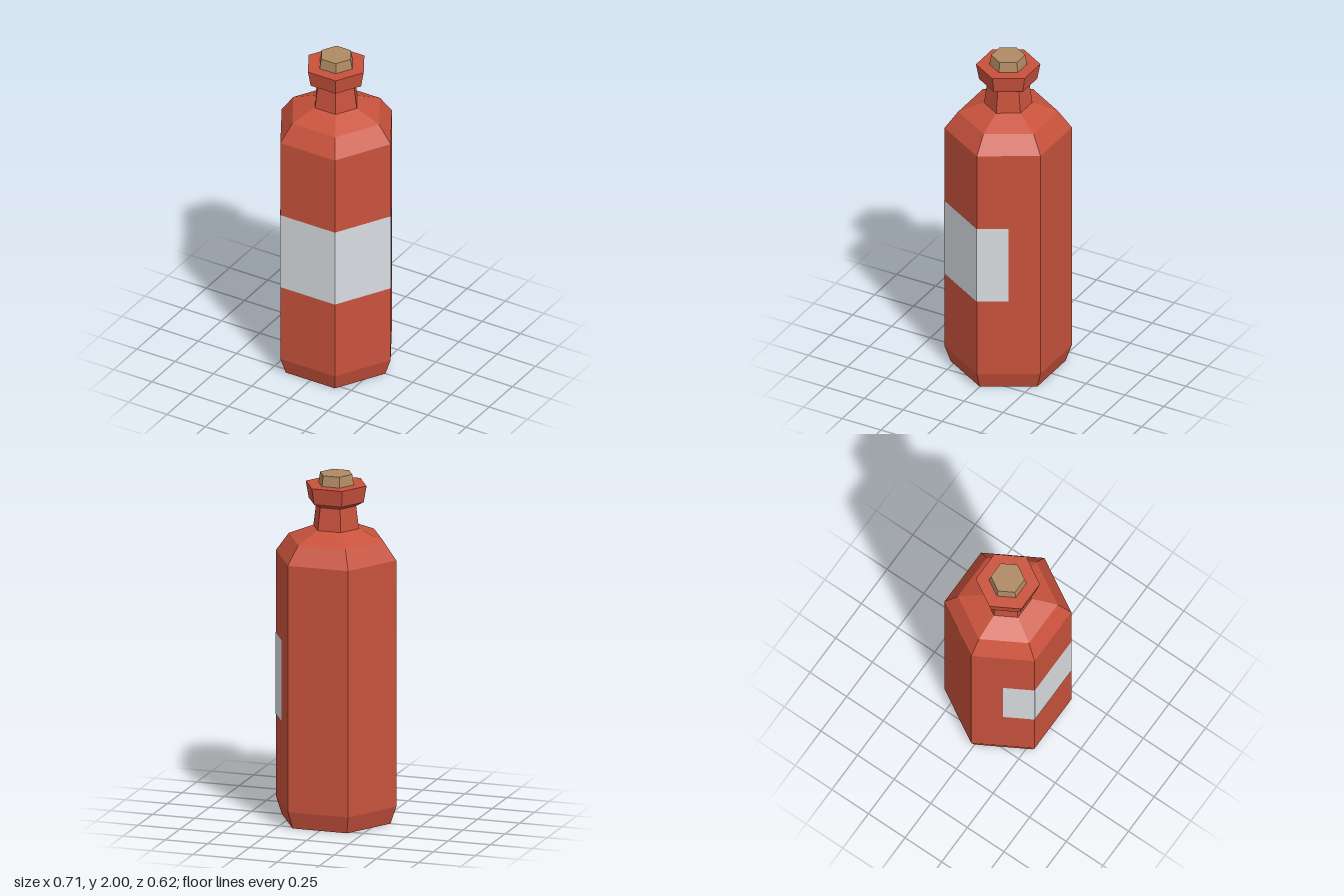
import * as THREE from 'three';

const SIDES = 6;

// Flat-shaded hexagonal solid of revolution, with corners on the x axis
function hexLathe(name, profile, material) {
  const points = profile.map(([r, y]) => new THREE.Vector2(r, y));
  const geometry = new THREE.LatheGeometry(points, SIDES, Math.PI / 2).toNonIndexed();
  geometry.computeVertexNormals();
  const mesh = new THREE.Mesh(geometry, material);
  mesh.name = name;
  return mesh;
}

function flat(name, color) {
  const material = new THREE.MeshStandardMaterial({ color, flatShading: true });
  material.name = name;
  return material;
}

export function createModel() {
  const red = flat('red glass', 0xc8523c);
  const paper = flat('pale paper', 0xd8dde1);
  paper.side = THREE.DoubleSide;
  const tan = flat('tan cork', 0xb08a63);

  const group = new THREE.Group();
  group.name = 'bottle';

  // Body, shoulder and neck
  group.add(hexLathe('body', [
    [0, 0], [0.322, 0], [0.356, 0.1], [0.356, 1.525], [0.28, 1.63],
    [0.135, 1.69], [0.118, 1.82],
  ], red));

  // Flared lip
  group.add(hexLathe('lip', [
    [0.118, 1.82], [0.163, 1.845], [0.18, 1.94], [0, 1.94],
  ], red));

  // Stopper, slightly tapered
  group.add(hexLathe('cork', [[0.106, 1.935], [0.095, 2], [0, 2]], tan));

  // Label wraps two full sides and half of the next one at each end
  const R = 0.358;
  const corner = (k) => new THREE.Vector2(R * Math.cos(k * Math.PI / 3), R * Math.sin(k * Math.PI / 3));
  const path = [
    corner(3).lerp(corner(2), 0.5), corner(2), corner(1), corner(0),
    corner(0).lerp(corner(-1), 0.5),
  ];
  const strip = new THREE.PlaneGeometry(1, 1, path.length - 1, 1);
  const pos = strip.attributes.position;
  for (let i = 0; i < pos.count; i++) {
    const p = path[i % path.length];
    pos.setXYZ(i, p.x, i < path.length ? 1.05 : 0.575, p.y);
  }
  const labelGeometry = strip.toNonIndexed();
  labelGeometry.computeVertexNormals();
  const label = new THREE.Mesh(labelGeometry, paper);
  label.name = 'label';
  group.add(label);

  return group;
}
